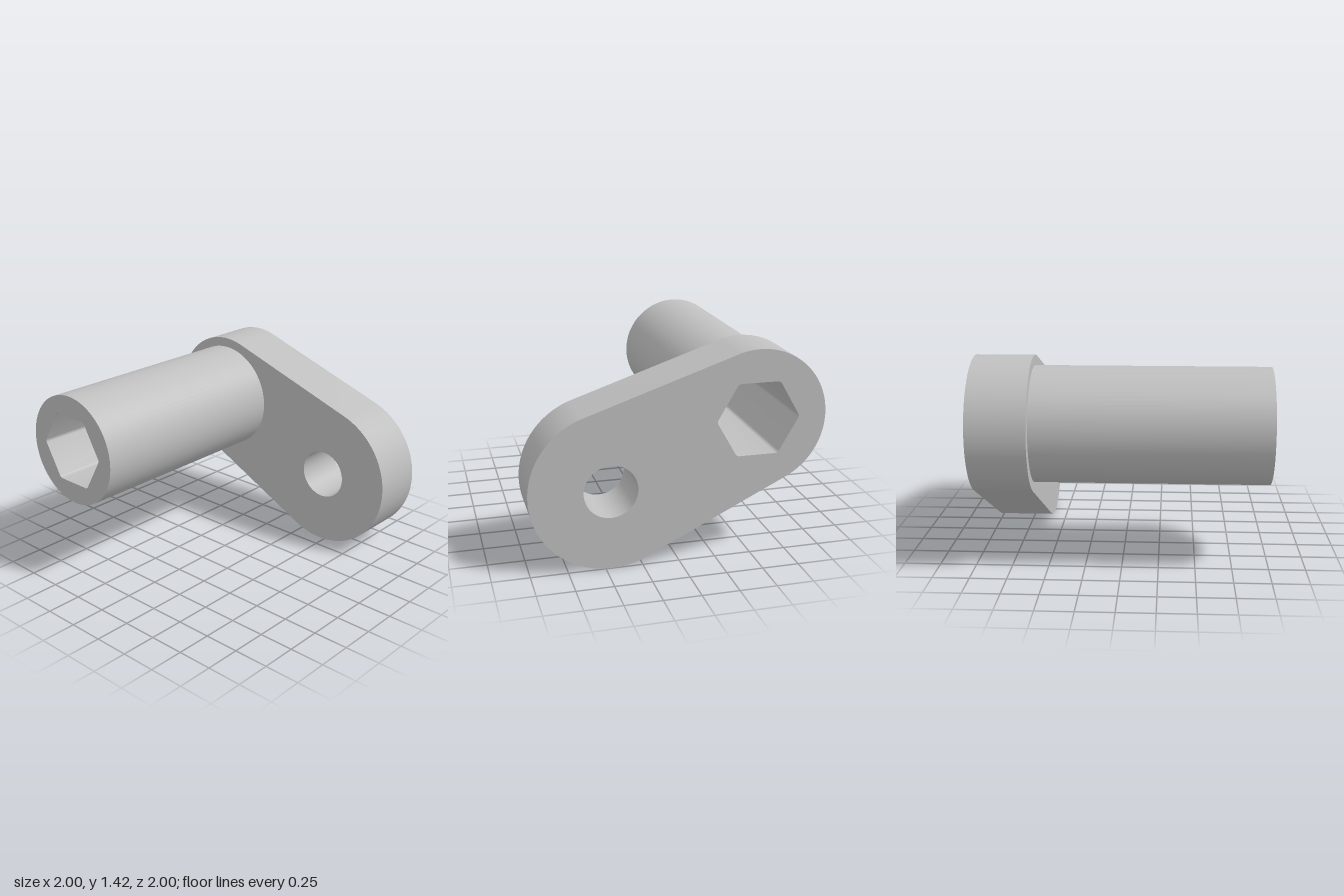
import * as THREE from 'three';
import { toCreasedNormals } from 'three/addons/utils/BufferGeometryUtils.js';

const SMALL = { x: -0.53, y: 0.95, r: 0.47 }; // socket end of the arm
const BIG = { x: 0.46, y: 0.54, r: 0.54 };    // pivot end of the arm
const TUBE_R = 0.4, PIN_R = 0.18;
const HEX_APOTHEM = 0.247, HEX_FILLET = 0.03;

function circle(x, y, r) {
  return new THREE.Path().absarc(x, y, r, 0, Math.PI * 2, false);
}

// Hexagonal hole with lightly rounded corners
function hexHole() {
  const path = new THREE.Path();
  const d = (HEX_APOTHEM - HEX_FILLET) / Math.cos(Math.PI / 6);
  for (let i = 0; i < 6; i++) {
    const a = i * Math.PI / 3;
    path.absarc(SMALL.x + d * Math.cos(a), SMALL.y + d * Math.sin(a),
      HEX_FILLET, a - Math.PI / 6, a + Math.PI / 6, false);
  }
  path.closePath();
  return path;
}

function extrude(name, shape, z0, z1, material) {
  const geometry = new THREE.ExtrudeGeometry(shape, {
    depth: z1 - z0, bevelEnabled: false, curveSegments: 40,
  });
  geometry.translate(0, 0, z0);
  const mesh = new THREE.Mesh(toCreasedNormals(geometry, 0.5), material);
  mesh.name = name;
  return mesh;
}

export function createModel() {
  const group = new THREE.Group();
  group.name = 'leverArm';
  const grey = new THREE.MeshStandardMaterial({ color: 0xbfbfbf });
  grey.name = 'grey';

  // Arm plate: two round ends joined by their outer tangents
  const dx = BIG.x - SMALL.x, dy = BIG.y - SMALL.y;
  const axis = Math.atan2(dy, dx);
  const spread = Math.acos((SMALL.r - BIG.r) / Math.hypot(dx, dy));
  const plate = new THREE.Shape();
  plate.absarc(SMALL.x, SMALL.y, SMALL.r, axis + spread, axis - spread + Math.PI * 2, false);
  plate.absarc(BIG.x, BIG.y, BIG.r, axis - spread, axis + spread, false);
  plate.closePath();
  plate.holes.push(hexHole(), circle(BIG.x, BIG.y, PIN_R));
  group.add(extrude('armPlate', plate, -1, -0.6, grey));

  // Round shaft with the hexagonal socket running through it
  const tube = new THREE.Shape();
  tube.absarc(SMALL.x, SMALL.y, TUBE_R, 0, Math.PI * 2, false);
  tube.holes.push(hexHole());
  group.add(extrude('socketShaft', tube, -0.6, 1, grey));

  return group;
}
